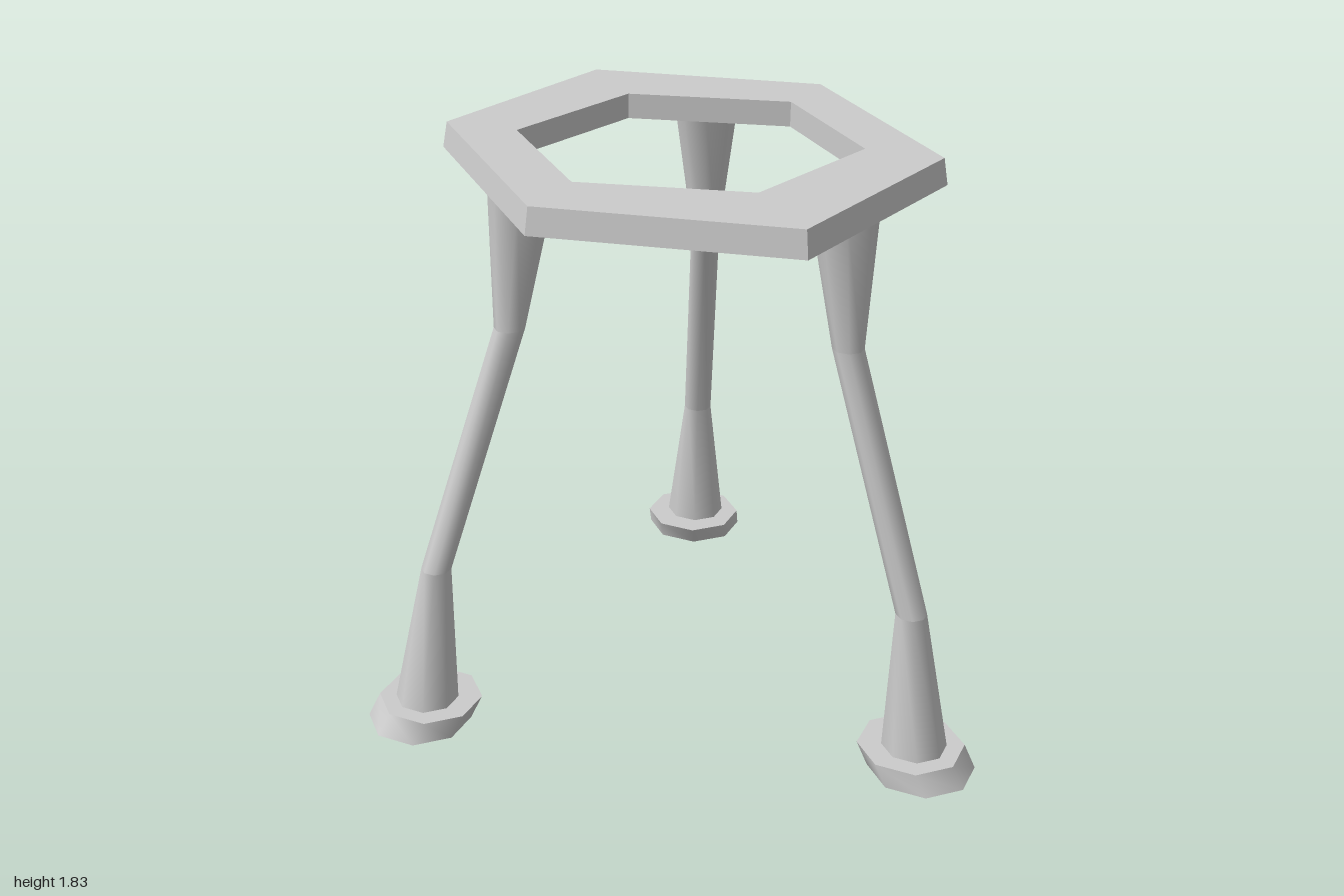
import * as THREE from 'three';

const SIDES = 8;
const grey = new THREE.MeshStandardMaterial({ color: 0xcccccc, side: THREE.DoubleSide });
const greyFlat = new THREE.MeshStandardMaterial({ color: 0xcccccc, side: THREE.DoubleSide, flatShading: true });

// Skin between horizontal rings, each [x, y, z, radius], listed from top to bottom
function loft(rings) {
  const pos = [], index = [];
  for (const [x, y, z, r] of rings) {
    for (let i = 0; i < SIDES; i++) {
      const a = ((i + 0.5) / SIDES) * Math.PI * 2;
      pos.push(x + r * Math.cos(a), y, z + r * Math.sin(a));
    }
  }
  for (let k = 0; k < rings.length - 1; k++) {
    for (let i = 0; i < SIDES; i++) {
      const j = (i + 1) % SIDES;
      const a = k * SIDES + i, b = k * SIDES + j, c = a + SIDES, d = b + SIDES;
      index.push(a, b, c, b, d, c);
    }
  }
  const g = new THREE.BufferGeometry();
  g.setAttribute('position', new THREE.Float32BufferAttribute(pos, 3));
  g.setIndex(index);
  g.computeVertexNormals();
  return g;
}

function addMesh(parent, name, geometry, material) {
  const mesh = new THREE.Mesh(geometry, material);
  mesh.name = name;
  parent.add(mesh);
}

// Hexagonal seat ring: profile corners are [half width x, apex z, y]
function seatGeometry() {
  const profile = [
    [0.45, 0.52, 1.745], [0.637, 0.847, 1.745],
    [0.625, 0.832, 1.825], [0.45, 0.52, 1.825],
  ];
  const pos = [], index = [];
  for (const [w, apex, y] of profile) {
    for (let i = 0; i < 6; i++) {
      const a = (i / 6) * Math.PI * 2;
      pos.push(0.207 + (w / Math.cos(Math.PI / 6)) * Math.sin(a), y, 0.028 + apex * Math.cos(a));
    }
  }
  for (let k = 0; k < 4; k++) {
    for (let i = 0; i < 6; i++) {
      const j = (i + 1) % 6, n = (k + 1) % 4;
      const a = k * 6 + i, b = k * 6 + j, c = n * 6 + i, d = n * 6 + j;
      index.push(a, b, c, b, d, c);
    }
  }
  const g = new THREE.BufferGeometry();
  g.setAttribute('position', new THREE.Float32BufferAttribute(pos, 3));
  g.setIndex(index);
  const flat = g.toNonIndexed();
  flat.computeVertexNormals();
  return flat;
}

// Leg centre lines: top, upper bend, lower bend, base; then foot rim top and bottom
const LEGS = [
  {
    name: 'rightLeg',
    path: [[-0.315, 1.75, 0.045], [-0.362, 1.31, 0.045], [-0.617, 0.53, 0.035], [-0.667, 0.07, 0.037]],
    foot: [[-0.655, 0.07, 0.037], [-0.695, 0, 0.04]],
  },
  {
    name: 'frontLeftLeg',
    path: [[0.48, 1.75, 0.53], [0.497, 1.33, 0.565], [0.641, 0.54, 0.79], [0.667, 0.087, 0.823]],
    foot: [[0.66, 0.087, 0.815], [0.682, 0.02, 0.848]],
  },
  {
    name: 'backLeftLeg',
    path: [[0.475, 1.75, -0.487], [0.497, 1.33, -0.527], [0.585, 0.54, -0.778], [0.603, 0.087, -0.826]],
    foot: [[0.59, 0.087, -0.815], [0.608, 0.02, -0.845]],
  },
];
const LEG_RADII = [0.1, 0.047, 0.047, 0.1];
const FOOT_RADIUS = 0.165;

export function createModel() {
  const model = new THREE.Group();
  model.name = 'stool';
  addMesh(model, 'seatRing', seatGeometry(), greyFlat);

  for (const { name, path, foot } of LEGS) {
    const leg = new THREE.Group();
    leg.name = name;
    const rings = path.map((p, i) => [...p, LEG_RADII[i]]);
    // Each straight length is skinned separately so the bends stay crisp
    ['upperLeg', 'middleLeg', 'lowerLeg'].forEach((part, i) => {
      addMesh(leg, part, loft(rings.slice(i, i + 2)), grey);
    });
    // Slanted foot, open underneath
    const [top, bottom] = foot.map((p) => [...p, FOOT_RADIUS]);
    addMesh(leg, 'footTop', loft([rings[3], top]), grey);
    addMesh(leg, 'footRim', loft([top, bottom]), grey);
    model.add(leg);
  }
  return model;
}
